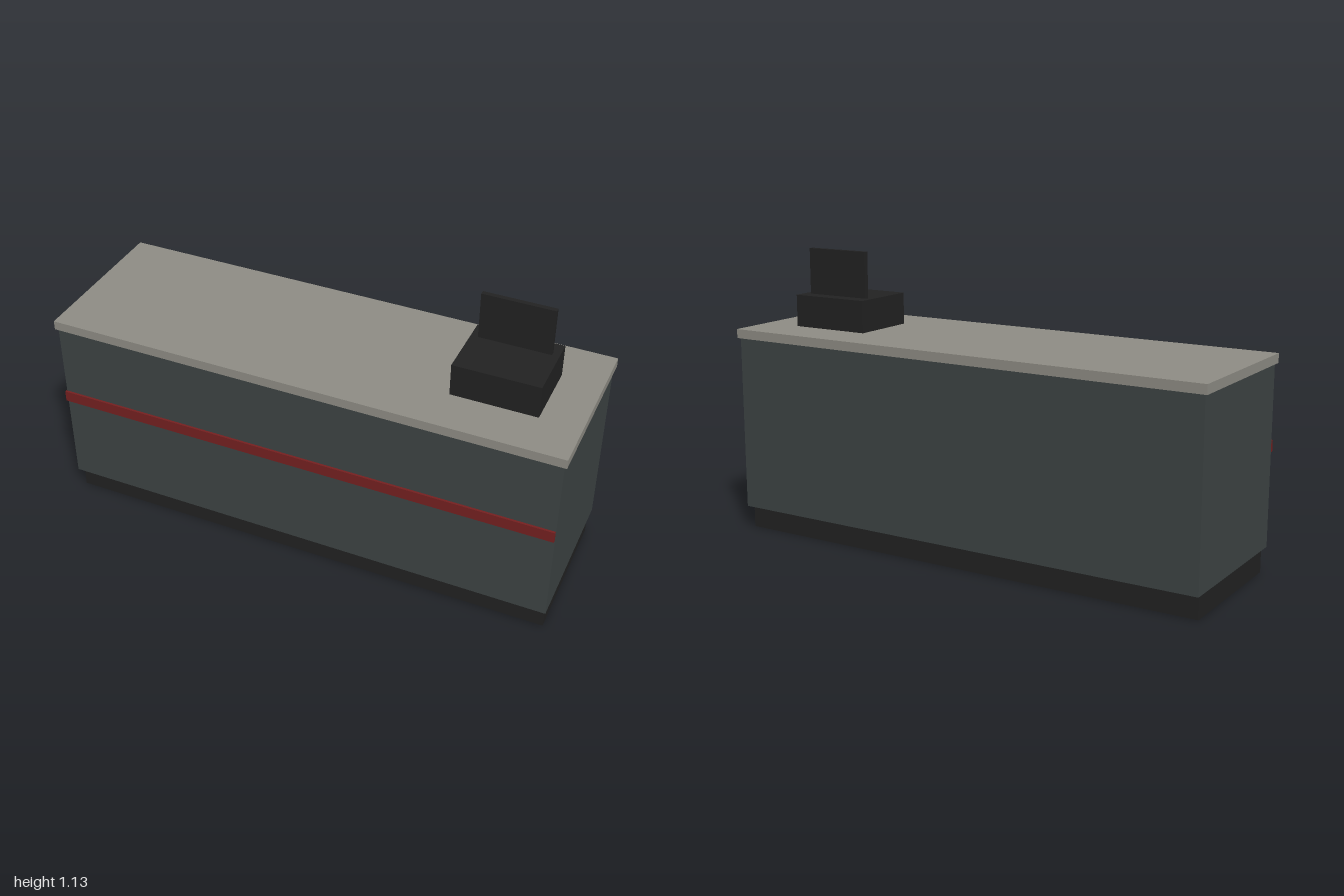
import * as THREE from 'three';

const material = (name, color) => {
  const m = new THREE.MeshStandardMaterial({ color });
  m.name = name;
  return m;
};

export function createModel() {
  const group = new THREE.Group();
  group.name = 'serviceCounter';

  const slate = material('slate', 0x3d4444);
  const stone = material('stone', 0x8f8d85);
  const red = material('red', 0x752020);
  const black = material('black', 0x222222);

  // Box given by its [min, max] extent on each axis
  const box = (name, mat, [x0, x1], [y0, y1], [z0, z1]) => {
    const mesh = new THREE.Mesh(new THREE.BoxGeometry(x1 - x0, y1 - y0, z1 - z0), mat);
    mesh.position.set((x0 + x1) / 2, (y0 + y1) / 2, (z0 + z1) / 2);
    mesh.name = name;
    group.add(mesh);
  };

  // Counter: recessed plinth, cabinet body and overhanging worktop
  box('plinth', black, [-0.98, 0.98], [0, 0.092], [-0.282, 0.28]);
  box('cabinetBody', slate, [-0.99, 0.99], [0.092, 0.784], [-0.311, 0.308]);
  box('worktop', stone, [-1, 1], [0.784, 0.82], [-0.32, 0.317]);

  // Trim strip standing just off the front panel
  box('frontStrip', red, [-0.99, 0.99], [0.453, 0.497], [0.313, 0.322]);

  // Cash register with an upright screen
  box('registerBase', black, [0.517, 0.843], [0.82, 0.946], [-0.138, 0.135]);
  box('registerScreen', black, [0.544, 0.816], [0.946, 1.128], [-0.082, -0.064]);

  return group;
}
